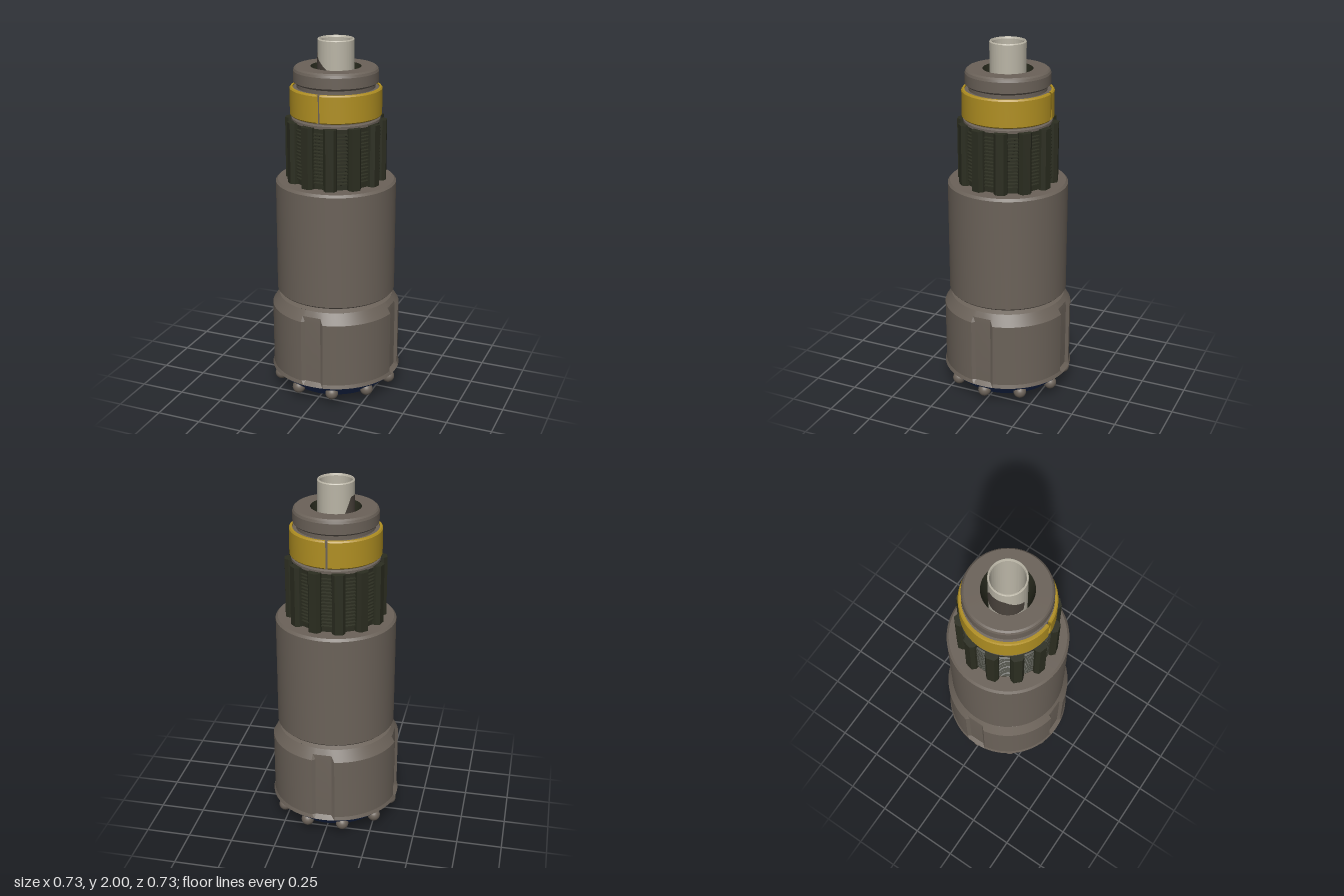
import * as THREE from 'three';
import { toCreasedNormals } from 'three/addons/utils/BufferGeometryUtils.js';

const mat = (name, color, side = THREE.FrontSide) => {
  const m = new THREE.MeshStandardMaterial({ color, side });
  m.name = name;
  return m;
};

export function createModel() {
  const steel = mat('warm grey steel', 0x6b6259);
  const dark = mat('dark olive steel', 0x2b2d20);
  const gold = mat('gold', 0xb08f22, THREE.DoubleSide);
  const blue = mat('navy blue', 0x20325c);
  const silver = mat('pale silver', 0xbab5a6);
  const patch = mat('dark brown steel', 0x4a433c, THREE.DoubleSide);

  const model = new THREE.Group();
  const add = (name, geometry, material, parent = model) => {
    const mesh = new THREE.Mesh(geometry, material);
    mesh.name = name;
    parent.add(mesh);
    return mesh;
  };
  // Profiles run bottom to top on the outside and top to bottom on the inside
  const lathe = (pts, start = 0, sweep = Math.PI * 2, segs = 96) =>
    toCreasedNormals(new THREE.LatheGeometry(pts.map(p => new THREE.Vector2(...p)), segs, start, sweep), 0.35);

  // Blue cutting face: sloped gauge, flat ring and shallow cone to the bore
  add('cuttingFace', lathe([[0.105, 0.06], [0.245, 0.038], [0.275, 0.038], [0.365, 0.12]]), blue);

  // Round buttons: ten on the gauge, six on the inner cone
  const buttons = new THREE.Group();
  buttons.name = 'buttons';
  model.add(buttons);
  const ball = new THREE.SphereGeometry(0.036, 24, 16);
  const ringOfButtons = (name, count, radius, y, offset) => {
    for (let i = 0; i < count; i++) {
      const a = offset + i / count * Math.PI * 2;
      add(name, ball, steel, buttons).position.set(Math.cos(a) * radius, y, Math.sin(a) * radius);
    }
  };
  ringOfButtons('gaugeButton', 10, 0.323, 0.075, 0);
  ringOfButtons('innerButton', 6, 0.18, 0.036, Math.PI / 6);

  // Bit head: rings lofted upward, with four flat flutes on the axes
  const angles = [];
  for (let q = 0; q < 4; q++) {
    const c = q * Math.PI / 2;
    for (const d of [-7.6, 0, 7.6]) angles.push(c + THREE.MathUtils.degToRad(d));
    for (let i = 0; i <= 18; i++) angles.push(c + THREE.MathUtils.degToRad(10.3 + i * 69.4 / 18));
  }
  const levels = [ // y, radius, flute floor distance
    [0.12, 0.365, 0.364], [0.14, 0.358, 0.339], [0.5, 0.358, 0.339], [0.53, 0.339, 0.336], [0.56, 0.32, 0.32],
  ];
  const pos = [], idx = [], n = angles.length;
  for (const [y, r, f] of levels) {
    angles.forEach((a, i) => {
      const flute = i % 22 < 3;
      const off = flute ? (i % 22 - 1) * 7.6 * Math.PI / 180 : 0;
      const rr = flute ? Math.min(r, f / Math.cos(off)) : r;
      pos.push(Math.sin(a) * rr, y, Math.cos(a) * rr);
    });
  }
  for (let j = 0; j < levels.length - 1; j++) {
    for (let i = 0; i < n; i++) {
      const a = j * n + i, b = j * n + (i + 1) % n;
      idx.push(a, b, a + n, b, b + n, a + n);
    }
  }
  const head = new THREE.BufferGeometry();
  head.setAttribute('position', new THREE.Float32BufferAttribute(pos, 3));
  head.setIndex(idx);
  add('bitHead', toCreasedNormals(head, 0.3), steel);
  add('headShoulder', lathe([[0.32, 0.56], [0.275, 0.585], [0.275, 0.6]]), steel);

  // Chuck housing
  add('housing', lathe([[0.26, 0.588], [0.322, 0.588], [0.33, 0.596], [0.33, 1.222], [0.318, 1.235], [0.2, 1.235]]), steel);

  // Twelve-tooth spline with fine ridges in its valleys
  const spline = new THREE.Shape();
  for (let i = 0; i < 12; i++) {
    const c = (i + 0.5) * Math.PI / 6;
    for (const [r, d] of [[0.237, -8.5], [0.256, -8], [0.275, -4.5], [0.275, 4.5], [0.256, 8], [0.237, 8.5]]) {
      const a = c + d * Math.PI / 180;
      if (i === 0 && d === -8.5) spline.moveTo(r * Math.cos(a), r * Math.sin(a));
      else spline.lineTo(r * Math.cos(a), r * Math.sin(a));
    }
  }
  spline.closePath();
  const hole = new THREE.Path();
  hole.absarc(0, 0, 0.14, 0, Math.PI * 2, true);
  spline.holes.push(hole);
  const splineGeo = new THREE.ExtrudeGeometry(spline, { depth: 0.335, bevelEnabled: false, curveSegments: 32 });
  splineGeo.rotateX(-Math.PI / 2).translate(0, 1.235, 0);
  add('spline', splineGeo, dark);
  const ridges = [];
  for (let i = 0; i < 15; i++) {
    const y = 1.26 + i * 0.019;
    ridges.push([0.235, y], [0.246, y + 0.004], [0.246, y + 0.011], [0.235, y + 0.015]);
  }
  add('valleyRidges', lathe(ridges), dark);

  // Neck, groove and top collar in one turned piece
  add('neckAndCollar', lathe([
    [0.14, 1.565], [0.24, 1.565], [0.24, 1.58], [0.23, 1.586], [0.23, 1.74], [0.21, 1.742], [0.21, 1.762],
    [0.22, 1.766], [0.229, 1.775], [0.229, 1.832], [0.224, 1.845], [0.215, 1.853], [0.135, 1.853],
  ]), steel);

  // Split ring in two halves, open at front and back
  for (const start of [0, Math.PI]) {
    add('splitRingHalf', lathe([
      [0.231, 1.594], [0.243, 1.594], [0.248, 1.6], [0.248, 1.738], [0.242, 1.746], [0.231, 1.746], [0.231, 1.594],
    ], start + 0.032, Math.PI - 0.064, 48), gold);
  }

  // Through bore with a long tapered mouth
  add('bore', lathe([[0.135, 1.853], [0.105, 1.62], [0.105, 0.06]]), dark);

  // Feed tube standing in the bore
  add('feedTube', lathe([
    [0.086, 1.5], [0.098, 1.5], [0.098, 1.995], [0.094, 2], [0.09, 2], [0.086, 1.99], [0.086, 1.5],
  ]), silver);

  // Worn dark patch low on the side of the tube
  const scar = new THREE.CylinderGeometry(0.0995, 0.0995, 1, 32, 1, true, -Math.PI * 0.78, Math.PI * 0.76);
  const p = scar.attributes.position;
  for (let i = 0; i < p.count; i++) {
    const t = (i % 33) / 32;
    const top = 1.84 + 0.082 * Math.min(1, t * 6, (1 - t) * 2.2);
    p.setY(i, p.getY(i) > 0 ? top : 1.76);
  }
  add('tubePatch', scar, patch);

  return model;
}
